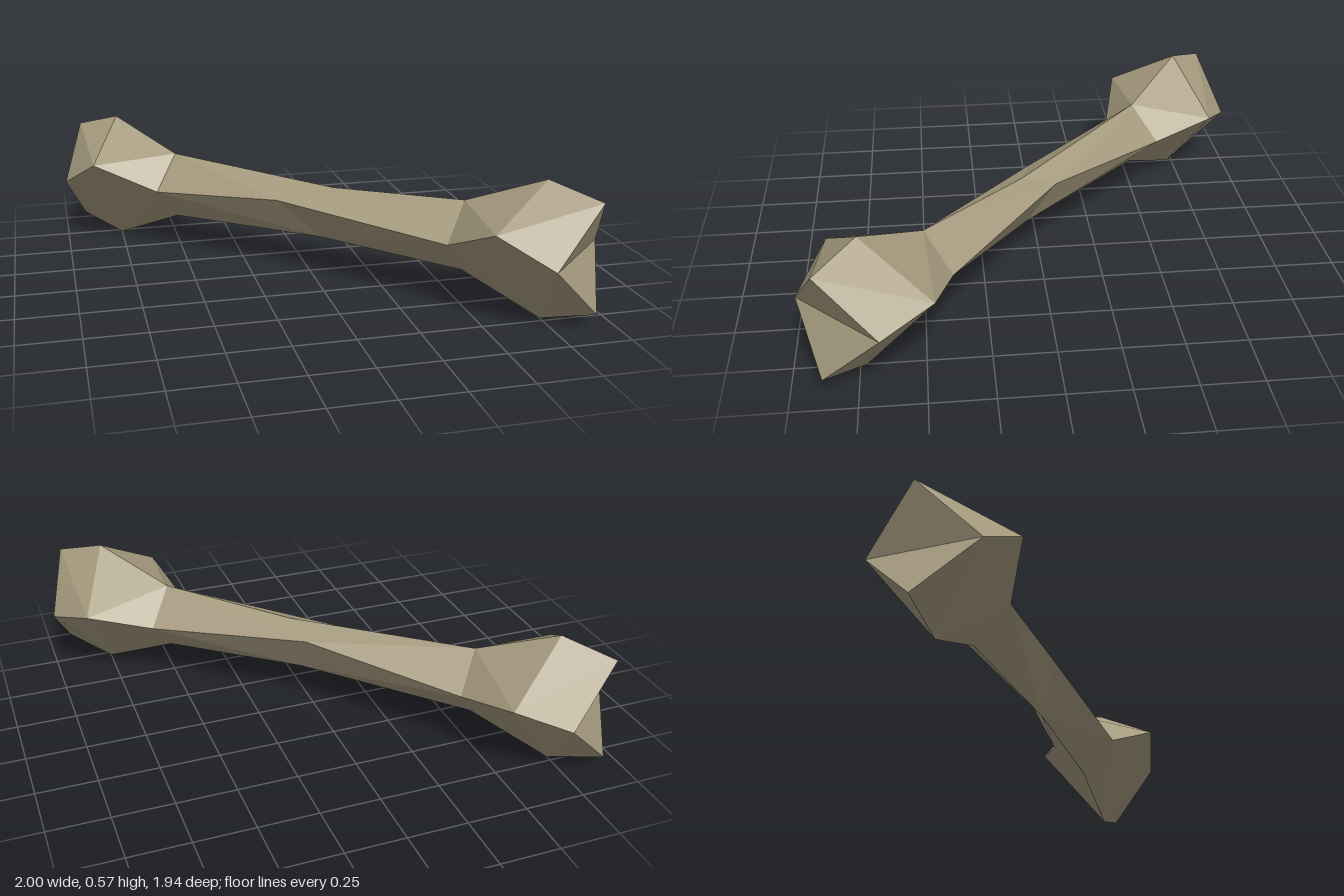
import * as THREE from 'three';

const v = (x, y, z) => new THREE.Vector3(x, y, z);

// Diamond cross-sections of the knobbly end: top, front side, bottom, back side
const END = [
  [v(0.51, 0.435, 0.49), v(0.405, 0.29, 0.595), v(0.51, 0.14, 0.49), v(0.61, 0.29, 0.385)],
  [v(0.75, 0.57, 0.725), v(0.49, 0.41, 0.86), v(0.75, 0.003, 0.725), v(0.88, 0.355, 0.457)],
  [v(0.91, 0.51, 0.88), v(0.69, 0.287, 0.972), v(0.91, 0.065, 0.88), v(1.0, 0.287, 0.657)],
];
// Slim waist in the middle of the shaft
const WAIST = [v(0.08, 0.398, 0.08), v(-0.15, 0.34, 0.02), v(0.04, 0.17, 0.05), v(0.06, 0.355, -0.07)];

// The opposite end is the same shape turned round, keeping the side heights
function oppositeRing([top, front, bottom, back]) {
  return [
    v(-top.x, top.y, -top.z),
    v(-back.x, front.y, -back.z),
    v(-bottom.x, bottom.y, -bottom.z),
    v(-front.x, back.y, -front.z),
  ];
}

function boneGeometry(rings) {
  const points = [];
  const tri = (...corners) => corners.forEach((p) => points.push(p.x, p.y, p.z));

  // Split each four-sided facet along its outward-bulging diagonal
  const quad = (a, b, c, d) => {
    const normal = c.clone().sub(a).cross(d.clone().sub(b));
    const bulge = a.clone().add(c).sub(b).sub(d).dot(normal);
    if (bulge > 0) { tri(a, b, c); tri(a, c, d); }
    else { tri(a, b, d); tri(b, c, d); }
  };

  for (let i = 0; i < rings.length - 1; i++) {
    for (let j = 0; j < 4; j++) {
      const k = (j + 1) % 4;
      quad(rings[i][j], rings[i][k], rings[i + 1][k], rings[i + 1][j]);
    }
  }

  // Notched end faces, folded inwards between the two side points
  const [t0, f0, b0, k0] = rings[0];
  tri(t0, k0, f0);
  tri(f0, k0, b0);
  const [t1, f1, b1, k1] = rings[rings.length - 1];
  tri(t1, f1, k1);
  tri(f1, b1, k1);

  const geometry = new THREE.BufferGeometry();
  geometry.setAttribute('position', new THREE.Float32BufferAttribute(points, 3));
  geometry.computeVertexNormals();
  return geometry;
}

export function createModel() {
  const group = new THREE.Group();
  group.name = 'bone';

  const boneMaterial = new THREE.MeshStandardMaterial({ color: 0xa59a7e, flatShading: true });
  boneMaterial.name = 'dull bone';

  const rings = [...END.map(oppositeRing).reverse(), WAIST, ...END];
  const bone = new THREE.Mesh(boneGeometry(rings), boneMaterial);
  bone.name = 'boneShaftAndKnobs';
  group.add(bone);

  return group;
}
